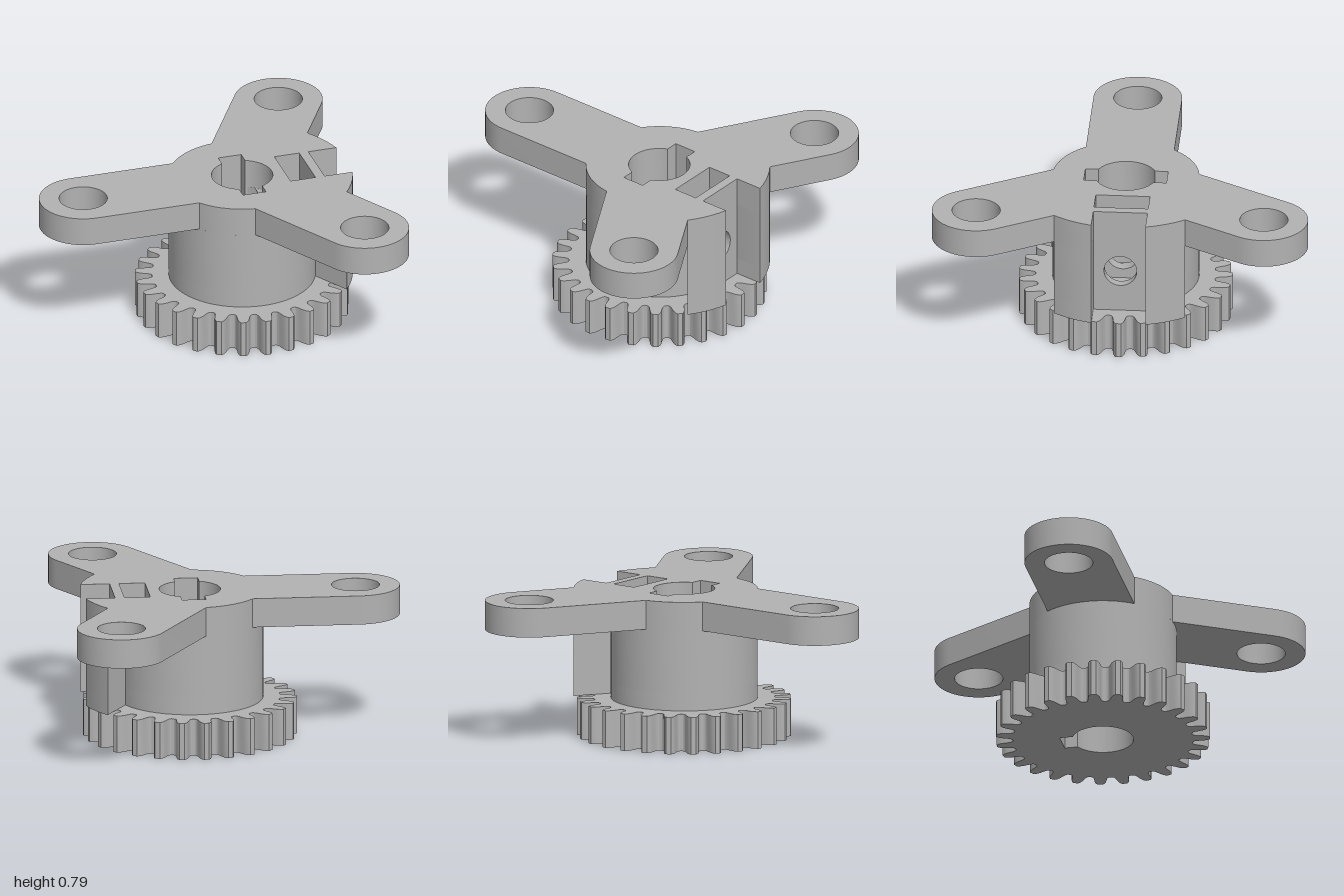
import * as THREE from 'three';
import { toCreasedNormals } from 'three/addons/utils/BufferGeometryUtils.js';

const DEG = Math.PI / 180;
const CX = 0.217;                        // gear axis
const GEAR_TOP = 0.2, POCKET_FLOOR = 0.295, PLATE_BOTTOM = 0.63, TOP = 0.787;
const HUB_R = 0.39, RIM_R = 0.587, ARM_R = 0.235, ARM_L = 0.883, HOLE_R = 0.128;
const BORE_R = 0.163, KEY_W = 0.064, KEY_L = 0.22;
const SLOT_W = 0.144, SLOT_X = 0.413;    // half width and back wall of the open slot
const POCKET_X0 = 0.225, POCKET_X1 = 0.363;

const asinDeg = (v) => Math.asin(v) / DEG;
const V = (x, y) => new THREE.Vector2(x, y);

// Points along an arc, angles in degrees
function arc(cx, cy, r, a0, a1) {
  const n = Math.max(2, Math.ceil(Math.abs(a1 - a0) / 5));
  return Array.from({ length: n + 1 }, (_, i) => {
    const a = (a0 + (a1 - a0) * i / n) * DEG;
    return V(cx + r * Math.cos(a), cy + r * Math.sin(a));
  });
}

// Bore outline between two angles, with the rear keyway and optionally the front one
function bore(a0, a1, frontKey) {
  const k = asinDeg(KEY_W / BORE_R);
  const pts = [
    ...arc(0, 0, BORE_R, a0, 90 - k), V(KEY_W, KEY_L), V(-KEY_W, KEY_L),
    ...arc(0, 0, BORE_R, 90 + k, frontKey ? 270 - k : a1),
  ];
  if (frontKey) pts.push(V(-KEY_W, -KEY_L), V(KEY_W, -KEY_L), ...arc(0, 0, BORE_R, 270 + k, a1));
  return pts;
}

const slotAngle = asinDeg(SLOT_W / RIM_R);
const rimAngle = 60 - asinDeg(ARM_R / RIM_R);
const hubAngle = asinDeg(ARM_R / HUB_R);
const rimUpper = arc(0, 0, RIM_R, slotAngle, rimAngle);
const rimLower = arc(0, 0, RIM_R, -rimAngle, -slotAngle);

// Hub with the flared guide on its right side
const hubOutline = [
  ...rimUpper,
  ...arc(0, 0, HUB_R, 60 - hubAngle, 300 + hubAngle),
  ...rimLower,
];

// Three rounded arms joined by the hub and the guide
function plateOutline() {
  const pts = [V(SLOT_X, SLOT_W), ...rimUpper];
  [60, 180, 300].forEach((a, i) => {
    pts.push(...arc(ARM_L * Math.cos(a * DEG), ARM_L * Math.sin(a * DEG), ARM_R, a - 90, a + 90));
    if (i < 2) pts.push(...arc(0, 0, HUB_R, a + hubAngle, a + 120 - hubAngle));
  });
  return [...pts, ...rimLower, V(SLOT_X, -SLOT_W)];
}

// Toothed outline: [fraction of pitch, radius] up and down each tooth
function gearOutline(teeth = 27) {
  const half = [[0.43, 0.478], [0.36, 0.483], [0.31, 0.494], [0.275, 0.512], [0.24, 0.535], [0.18, 0.556], [0.1, 0.568]];
  const tooth = [...half.map(([f, r]) => [-f, r]), ...half.slice().reverse()];
  const pts = [];
  for (let i = 0; i < teeth; i++) {
    for (const [f, r] of tooth) {
      const a = (i + f) * 2 * Math.PI / teeth;
      pts.push(V(r * Math.cos(a), r * Math.sin(a)));
    }
  }
  return pts;
}

const extrude = (outline, holes, depth) => {
  const shape = new THREE.Shape(outline);
  shape.holes = holes.map((h) => new THREE.Path(h));
  return new THREE.ExtrudeGeometry(shape, { depth, bevelEnabled: false });
};

export function createModel() {
  const grey = new THREE.MeshStandardMaterial({ color: 0xb2b2b2 });
  grey.name = 'grey';
  const model = new THREE.Group();
  model.name = 'gearedArmHub';

  const add = (name, geometry) => {
    const mesh = new THREE.Mesh(toCreasedNormals(geometry, 0.5), grey);
    mesh.name = name;
    mesh.position.x = CX;
    model.add(mesh);
  };
  // Horizontal slab from y0 to y1
  const slab = (name, outline, holes, y0, y1) =>
    add(name, extrude(outline, holes, y1 - y0).rotateX(-Math.PI / 2).translate(0, y0, 0));

  slab('gear', gearOutline(), [bore(-90, 270, false)], 0, GEAR_TOP);

  slab('hubBase', [V(SLOT_X, SLOT_W), ...hubOutline, V(SLOT_X, -SLOT_W)],
    [bore(-60, 300, true)], GEAR_TOP, POCKET_FLOOR);

  // Middle of the hub, open from the bore to the slot
  const mouth = asinDeg(SLOT_W / BORE_R);
  slab('hubBody', [...hubOutline, ...bore(mouth, 360 - mouth, true).reverse()], [],
    POCKET_FLOOR, PLATE_BOTTOM);

  const pocket = [V(POCKET_X0, -SLOT_W), V(POCKET_X1, -SLOT_W), V(POCKET_X1, SLOT_W), V(POCKET_X0, SLOT_W)];
  const armHoles = [60, 180, 300].map((a) =>
    arc(ARM_L * Math.cos(a * DEG), ARM_L * Math.sin(a * DEG), HOLE_R, 0, 355));
  slab('armPlate', plateOutline(), [bore(-60, 300, true), pocket, ...armHoles], PLATE_BOTTOM, TOP);

  // Walls either side of the nut pocket, pierced by the screw hole
  const steps = Array.from({ length: 13 }, (_, i) => -SLOT_W + 2 * SLOT_W * i / 12);
  const wallOutline = [
    ...steps.map((z) => V(z, POCKET_FLOOR)),
    ...steps.slice().reverse().map((z) => V(z, PLATE_BOTTOM)),
  ];
  const wall = (depth) =>
    extrude(wallOutline, [arc(0, 0.435, 0.087, 0, 355)], depth).rotateY(Math.PI / 2);

  add('outerPocketWall', wall(SLOT_X - POCKET_X1).translate(POCKET_X1, 0, 0));

  const inner = wall(POCKET_X0);
  const p = inner.attributes.position;
  for (let i = 0; i < p.count; i++) {    // bend the inner side to the bore
    if (p.getX(i) < 0.01) p.setX(i, Math.sqrt(BORE_R ** 2 - p.getZ(i) ** 2));
  }
  add('innerPocketWall', inner);

  return model;
}
